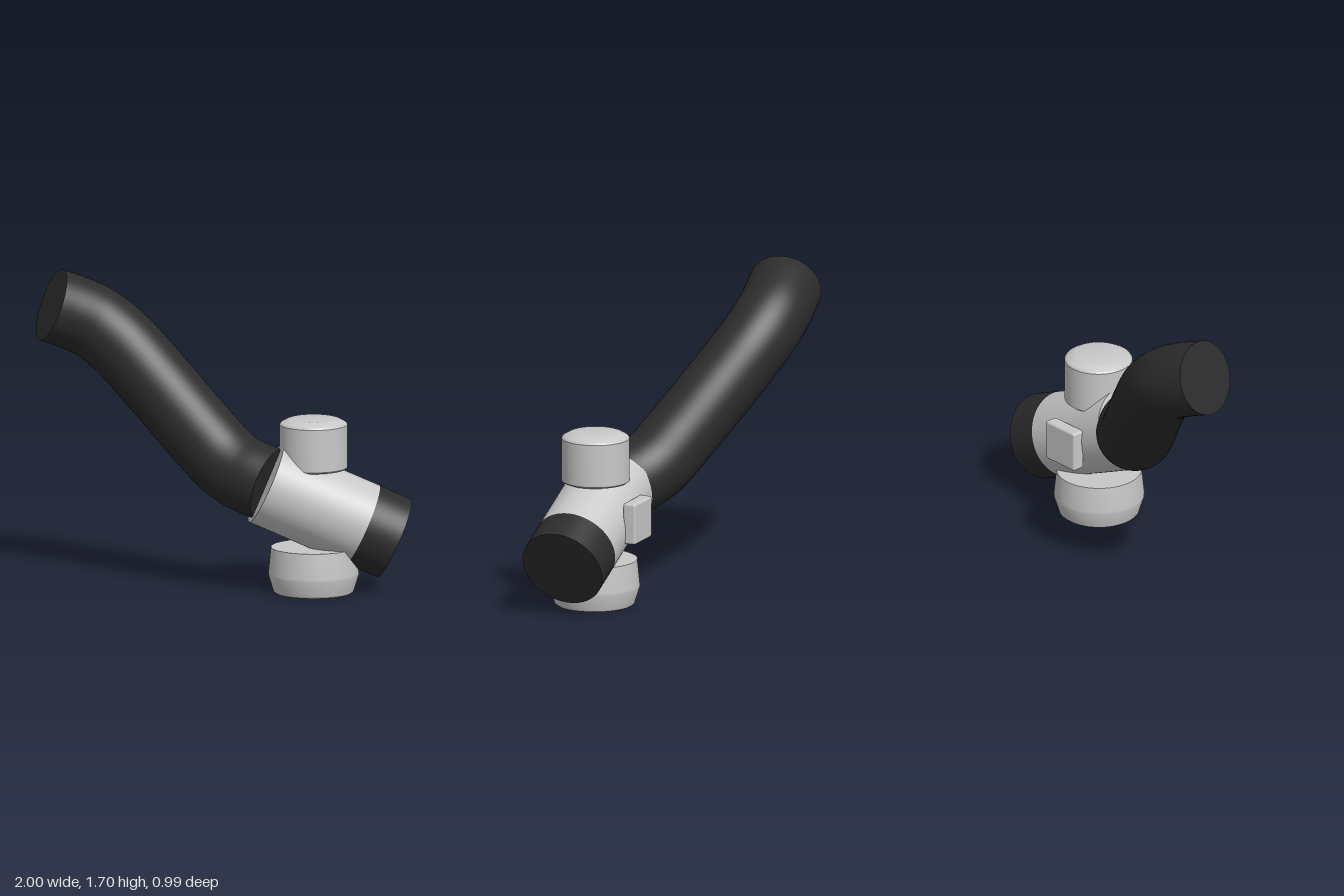
import * as THREE from 'three';
import { toCreasedNormals } from 'three/addons/utils/BufferGeometryUtils.js';
import { RoundedBoxGeometry } from 'three/addons/geometries/RoundedBoxGeometry.js';

export function createModel() {
  const group = new THREE.Group();
  const grey = new THREE.MeshStandardMaterial({ name: 'lightGrey', color: 0xc8c8c8 });
  const black = new THREE.MeshStandardMaterial({ name: 'rubberBlack', color: 0x2c2c2c });

  const add = (name, geometry, material, x = 0, y = 0, z = 0) => {
    const mesh = new THREE.Mesh(geometry, material);
    mesh.name = name;
    mesh.position.set(x, y, z);
    group.add(mesh);
    return mesh;
  };
  const v = (x, y, z) => new THREE.Vector3(x, y, z);
  const UP = v(0, 1, 0);

  // Closed cylinder between two points
  const rod = (name, a, b, radius, material) => {
    const mesh = add(name, new THREE.CylinderGeometry(radius, radius, a.distanceTo(b), 64), material);
    mesh.position.copy(a).lerp(b, 0.5);
    mesh.quaternion.setFromUnitVectors(UP, b.clone().sub(a).normalize());
  };

  // Turned part from [radius, height] pairs, listed bottom to top
  const turned = (name, profile, x, z) => {
    const points = profile.map(([r, y]) => new THREE.Vector2(r, y));
    add(name, toCreasedNormals(new THREE.LatheGeometry(points, 64), 0.4), grey, x, 0, z);
  };

  // Sloping body with its dark end sleeve
  const bodyStart = v(0.2, 0.605, 0.242);
  const bodyEnd = v(0.9, 0.29, 0.242);
  const joint = bodyStart.clone().lerp(bodyEnd, 0.75);
  rod('body', bodyStart, joint, 0.2325, grey);
  rod('endSleeve', joint, bodyEnd, 0.2325, black);

  // Knob above and foot below
  turned('topKnob', [[0, 0.68], [0.172, 0.68], [0.185, 0.69], [0.185, 0.925],
    [0.178, 0.935], [0.145, 0.953], [0.13, 0.957], [0, 0.957]], 0.46, 0.24);
  turned('foot', [[0, 0], [0.21, 0], [0.219, 0.008], [0.246, 0.095],
    [0.246, 0.11], [0.232, 0.25], [0, 0.25]], 0.46, 0.245);

  // Rounded plate on the back
  add('backPlate', new RoundedBoxGeometry(0.228, 0.228, 0.075, 3, 0.014), grey, 0.462, 0.49, -0.01);

  // Bent hose, running into the upper end of the body
  const path = new THREE.CatmullRomCurve3([
    v(-0.93, 1.51, -0.27), v(-0.82, 1.468, -0.288), v(-0.69, 1.405, -0.296),
    v(-0.55, 1.295, -0.262), v(-0.35, 1.08, -0.145), v(-0.12, 0.82, 0.01),
    v(-0.01, 0.705, 0.085), v(0.07, 0.65, 0.142), v(0.15, 0.618, 0.2), v(0.22, 0.595, 0.242),
  ], false, 'centripetal');
  const hoseRadius = 0.203;
  add('hose', new THREE.TubeGeometry(path, 96, hoseRadius, 48), black);

  // Discs closing the hose
  [0, 1].forEach((t) => {
    const disc = add('hoseEnd', new THREE.CircleGeometry(hoseRadius, 48), black);
    disc.position.copy(path.getPointAt(t));
    const outward = path.getTangentAt(t).multiplyScalar(t ? 1 : -1);
    disc.quaternion.setFromUnitVectors(v(0, 0, 1), outward);
  });

  return group;
}
